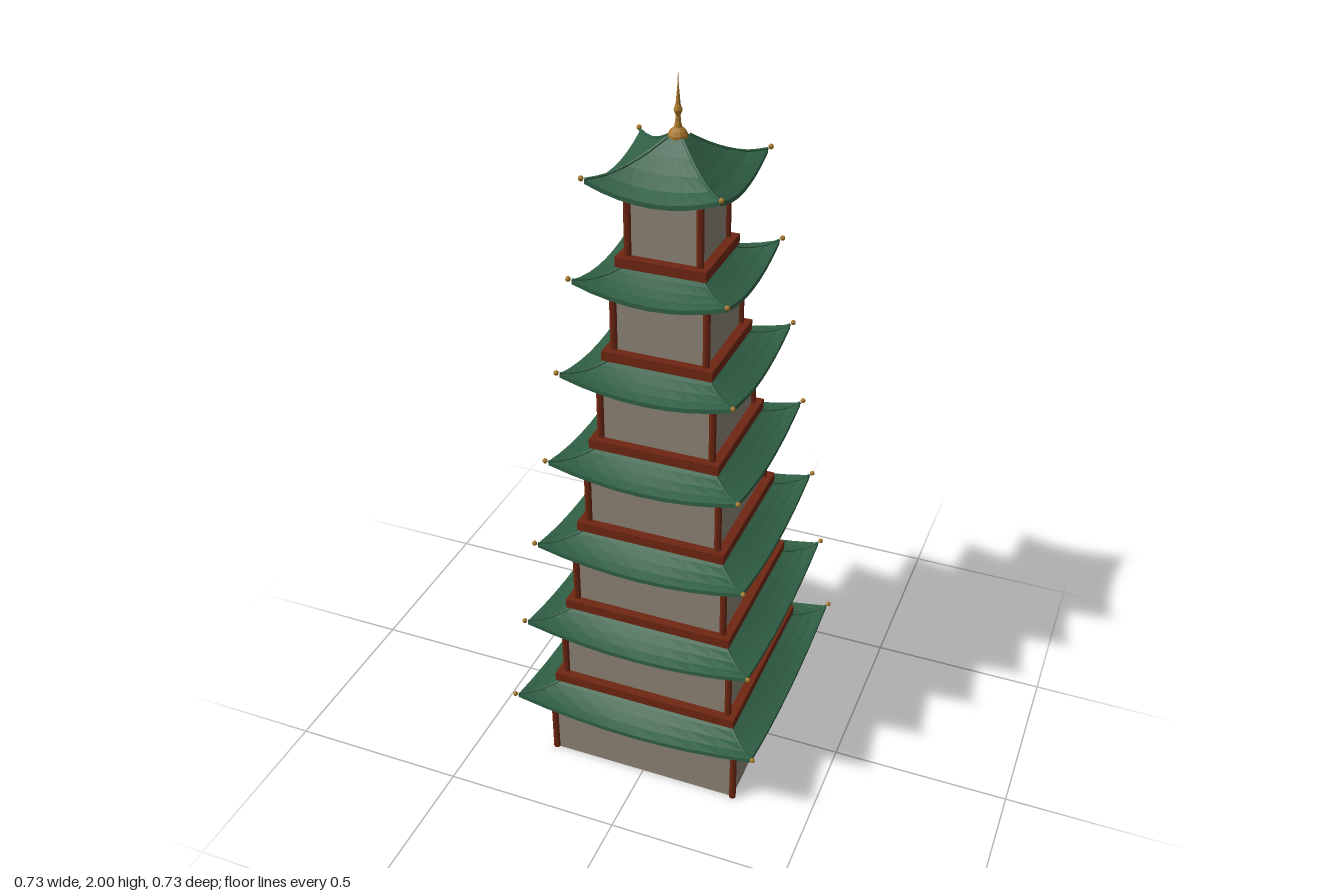
import * as THREE from 'three';
import { mergeGeometries } from 'three/addons/utils/BufferGeometryUtils.js';

const mat = (name, color) => {
  const m = new THREE.MeshStandardMaterial({ color, flatShading: true });
  m.name = name;
  return m;
};

const TIERS = 7, STEP = 0.2543, THICK = 0.012;

// Four-sided sheet: fn(u, v) gives a point of the front side, repeated by quarter turns
function fourSides(fn, nu, nv, flip = false) {
  const pos = [];
  for (let i = 0; i < nu; i++) for (let j = 0; j < nv; j++) {
    const p = (a, b) => fn((a / nu) * 2 - 1, b / nv);
    const a = p(i, j), b = p(i, j + 1), c = p(i + 1, j + 1), d = p(i + 1, j);
    const order = flip ? [a, c, b, a, d, c] : [a, b, c, a, c, d];
    order.forEach((v) => pos.push(v.x, v.y, v.z));
  }
  const side = new THREE.BufferGeometry();
  side.setAttribute('position', new THREE.Float32BufferAttribute(pos, 3));
  side.computeVertexNormals();
  return mergeGeometries([0, 1, 2, 3].map((k) => side.clone().rotateY(k * Math.PI / 2)));
}

export function createModel() {
  const green = mat('roof green', 0x305f45);
  const red = mat('timber red', 0x6e2612);
  const stone = mat('wall stone', 0x8c8273);
  const gold = mat('finial gold', 0xa8782a);
  const model = new THREE.Group();

  const add = (parent, name, geo, material, x = 0, y = 0, z = 0) => {
    const m = new THREE.Mesh(geo, material);
    m.name = name;
    m.position.set(x, y, z);
    parent.add(m);
    return m;
  };
  const corners = [[1, 1], [1, -1], [-1, -1], [-1, 1]];

  for (let i = 0; i < TIERS; i++) {
    const last = i === TIERS - 1;
    const wall = 0.275 - 0.03 * i, eave = 0.35 - 0.03 * i;
    const inner = last ? 0.02 : eave - 0.105;
    const rise = last ? 0.106 : 0.05;
    const base = i ? 0.024 : 0;
    const wallTop = last ? 0.242 : 0.212;
    const tier = new THREE.Group();
    tier.name = `tier${i + 1}`;
    tier.position.y = i * STEP;
    model.add(tier);

    // Storey: plinth beam, walls and corner columns
    if (i) add(tier, 'plinthBeam', new THREE.BoxGeometry(2 * wall + 0.05, 0.027, 2 * wall + 0.05), red, 0, 0.0135, 0);
    add(tier, 'walls', new THREE.BoxGeometry(2 * wall, wallTop - base, 2 * wall), stone, 0, (wallTop + base) / 2, 0);
    const colTop = wallTop + 0.008;
    for (const [sx, sz] of corners)
      add(tier, 'cornerColumn', new THREE.CylinderGeometry(0.01, 0.01, colTop - base, 8), red, sx * wall, (colTop + base) / 2, sz * wall);

    // Roof: concave slope with lifted corners, fascia and soffit
    const surface = (u, t, drop = 0) => {
      const h = THREE.MathUtils.lerp(inner, eave, t);
      const y = 0.207 + rise * Math.pow(1 - t, 1.3) + 0.035 * u * u * t * t - drop;
      return new THREE.Vector3(u * h, y, h);
    };
    add(tier, 'roofTiles', fourSides((u, t) => surface(u, t), 8, 4), green);
    add(tier, 'roofFascia', fourSides((u, v) => surface(u, 1, v * THICK), 8, 1), green);
    add(tier, 'roofSoffit', fourSides((u, t) => surface(u, t, THICK), 8, 4, true), red);
    if (last) add(tier, 'roofCap', new THREE.BoxGeometry(0.04, 0.01, 0.04), green, 0, 0.308, 0);

    // Hip ridges ending in small knobs
    const path = new THREE.CatmullRomCurve3([0, 0.25, 0.5, 0.75, 1].map((t) => surface(1, t)));
    corners.forEach(([sx, sz], k) => {
      add(tier, 'hipRidge', new THREE.TubeGeometry(path, 8, 0.004, 6), green).rotation.y = k * Math.PI / 2;
      add(tier, 'eaveKnob', new THREE.SphereGeometry(0.007, 8, 6), gold, sx * (eave + 0.006), 0.246, sz * (eave + 0.006));
    });
  }

  // Finial
  const profile = [[0, 1.83], [0.025, 1.832], [0.025, 1.843], [0.02, 1.853], [0.01, 1.861], [0.007, 1.875],
    [0.006, 1.89], [0.011, 1.903], [0.006, 1.918], [0.004, 1.94], [0.002, 1.96], [0, 2]];
  add(model, 'finial', new THREE.LatheGeometry(profile.map(([r, y]) => new THREE.Vector2(r, y)), 10), gold);
  return model;
}
